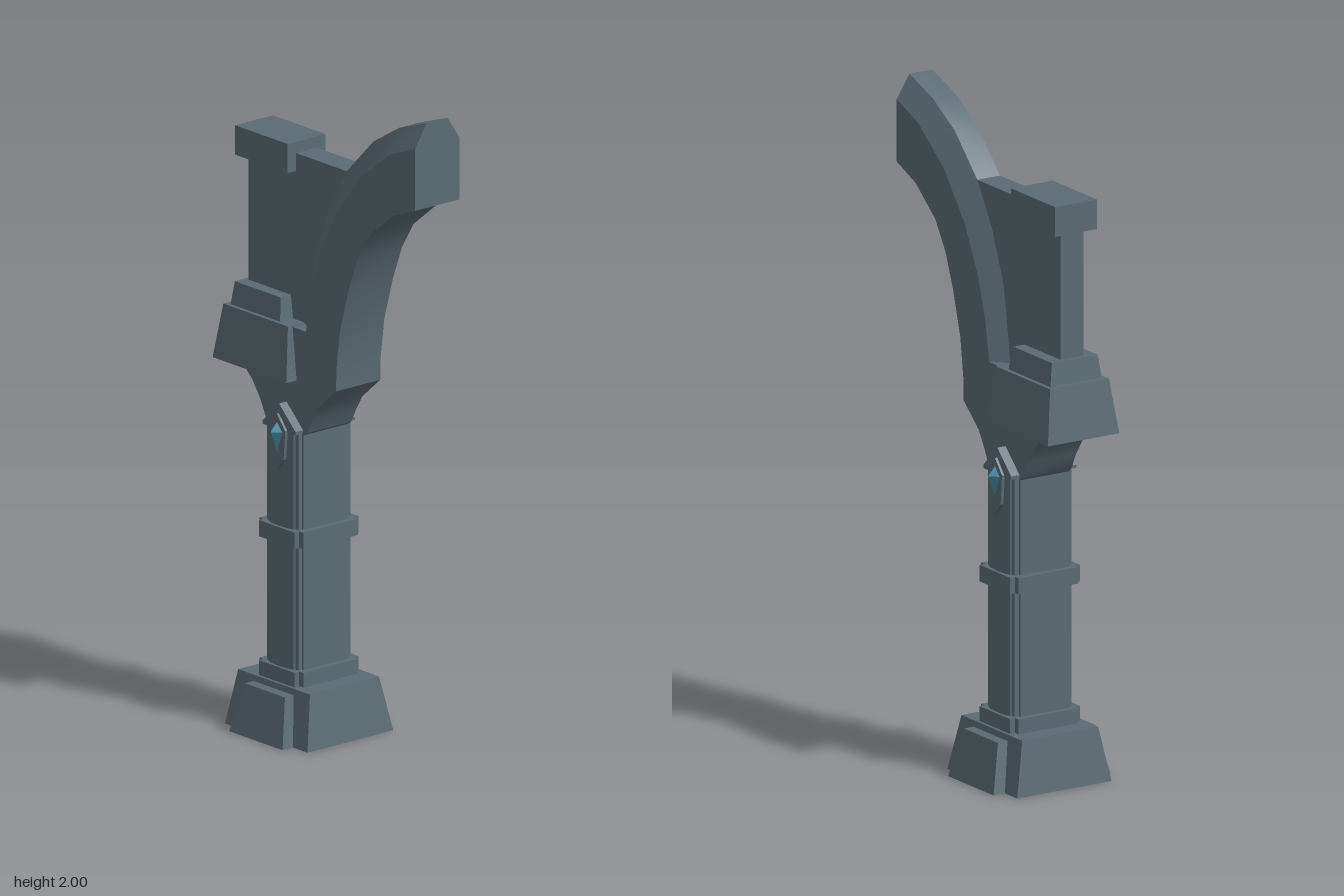
import * as THREE from 'three';
import { toCreasedNormals } from 'three/addons/utils/BufferGeometryUtils.js';

const CX = -0.147; // column axis

export function createModel() {
  const model = new THREE.Group();
  model.name = 'archPillar';

  const stone = new THREE.MeshStandardMaterial({ color: 0x5b6b74, side: THREE.DoubleSide });
  stone.name = 'slate stone';
  const crystal = new THREE.MeshStandardMaterial({ color: 0x4488a0 });
  crystal.name = 'blue crystal';

  function add(name, geometry, material = stone) {
    const mesh = new THREE.Mesh(geometry, material);
    mesh.name = name;
    model.add(mesh);
    return mesh;
  }

  // Tapered block: bottom and top rectangles are [x0, x1, z0, z1]
  function block(name, y0, y1, bottom, top = bottom, openBottom = false) {
    const g = new THREE.BoxGeometry(1, 1, 1);
    const p = g.attributes.position;
    for (let i = 0; i < p.count; i++) {
      const up = p.getY(i) > 0;
      const r = up ? top : bottom;
      p.setXYZ(i, p.getX(i) > 0 ? r[1] : r[0], up ? y1 : y0, p.getZ(i) > 0 ? r[3] : r[2]);
    }
    if (openBottom) {
      const index = Array.from(g.index.array);
      index.splice(18, 6);
      g.setIndex(index);
      g.clearGroups();
    }
    g.computeVertexNormals();
    return add(name, g);
  }

  // Flat outline extruded from z0 to z1
  function slab(points, z0, z1) {
    const shape = new THREE.Shape(points.map(([x, y]) => new THREE.Vector2(x, y)));
    const g = new THREE.ExtrudeGeometry(shape, { depth: z1 - z0, bevelEnabled: false });
    g.translate(0, 0, z0);
    return toCreasedNormals(g, 0.45);
  }

  // Hollow flared foot with a raised panel on front and back
  block('foot', 0, 0.165, [-0.33, 0.04, -0.165, 0.165], [-0.308, 0.014, -0.133, 0.133], true);
  block('footPanelFront', 0, 0.147, [-0.265, -0.025, 0.15, 0.205], [-0.235, -0.055, 0.12, 0.17]);
  block('footPanelBack', 0, 0.147, [-0.265, -0.025, -0.205, -0.15], [-0.235, -0.055, -0.17, -0.12]);

  // Plinth and middle band, each a cross of two boxes
  for (const [name, y0, y1] of [['plinth', 0.16, 0.21], ['band', 0.59, 0.64]]) {
    block(name, y0, y1, [-0.245, -0.048, -0.105, 0.105]);
    block(name + 'Front', y0, y1, [CX - 0.08, CX + 0.08, -0.123, 0.123]);
  }

  // Arch curves: side edge, crest edge and underside
  const edge = [[-0.06, 1.25], [-0.04, 1.37], [0.0, 1.5], [0.07, 1.64], [0.18, 1.78], [0.315, 1.885], [0.43, 1.93]];
  const crest = [[-0.105, 1.25], [-0.07, 1.475], [-0.01, 1.63], [0.066, 1.76], [0.19, 1.885], [0.305, 1.955], [0.43, 2.0]];
  const under = [[0.43, 1.74], [0.33, 1.7], [0.225, 1.615], [0.172, 1.53], [0.13, 1.42], [0.093, 1.29], [0.077, 1.17], [0.075, 1.1]];

  // Shaft, flared neck and arch as one continuous outline
  add('shaftAndArch', slab([
    [-0.07, 0.165], [-0.225, 0.165], [-0.225, 0.93], [-0.24, 0.945], [-0.265, 0.995], [-0.3, 1.045],
    [-0.36, 1.1], [-0.36, 1.25], ...edge, ...under, [-0.005, 1.03], [-0.035, 0.98], [-0.055, 0.94], [-0.07, 0.93],
  ], -0.085, 0.085));

  // Chamfered crest lofted along the arch
  const rings = edge.map(([x, y], i) => {
    const [cx, cy] = crest[i];
    return [[x, y, 0.085], [cx, cy, 0.04], [cx, cy, -0.04], [x, y, -0.085]];
  });
  const verts = [];
  const quad = (a, b, c, d) => verts.push(...a, ...b, ...c, ...a, ...c, ...d);
  for (let i = 0; i < rings.length - 1; i++) {
    for (let k = 0; k < 3; k++) quad(rings[i][k], rings[i + 1][k], rings[i + 1][k + 1], rings[i][k + 1]);
  }
  const end = rings[rings.length - 1];
  quad(end[0], end[3], end[2], end[1]);
  const crestGeometry = new THREE.BufferGeometry();
  crestGeometry.setAttribute('position', new THREE.Float32BufferAttribute(verts, 3));
  add('archCrest', toCreasedNormals(crestGeometry, 0.45));

  // Thin wall behind the arch and its cap stone
  add('wall', slab([[-0.37, 1.2], [-0.08, 1.2], [-0.05, 1.45], [0.0, 1.6], [0.08, 1.765], [-0.37, 1.765]], -0.04, 0.04));
  block('wallCap', 1.71, 1.8, [-0.392, -0.157, -0.073, 0.073]);

  // Corbel carrying the wall
  block('corbel', 1.09, 1.255, [-0.432, -0.102, -0.125, 0.125], [-0.41, -0.12, -0.103, 0.103]);
  block('corbelStep', 1.255, 1.325, [-0.392, -0.17, -0.09, 0.09], [-0.385, -0.18, -0.08, 0.08]);

  // Rounded pilasters on front and back, one profile run up the shaft
  const half = [[0.07, 0.1], [0.058, 0.1], [0.055, 0.106], [0.035, 0.112], [0, 0.114]];
  const frontHalf = [...half, ...half.slice(0, -1).reverse().map(([x, z]) => [-x, z])];
  const profile = [...frontHalf, ...frontHalf.map(([x, z]) => [-x, -z])];
  const pilaster = slab(profile, 0.165, 0.94);
  pilaster.rotateX(-Math.PI / 2);
  pilaster.translate(CX, 0, 0);
  add('pilasters', pilaster);

  // Pointed hood, gem setting and gem, on front and back
  const hood = slab([[-0.074, 0.935], [0.074, 0.935], [0.074, 0.945], [0, 1.015], [-0.074, 0.945]], 0.07, 0.114);
  const setting = slab([[0, 0.815], [0.03, 0.85], [0.037, 0.94], [0, 0.985], [-0.037, 0.94], [-0.03, 0.85]], 0.08, 0.122);
  const gem = new THREE.OctahedronGeometry(1);
  const gp = gem.attributes.position;
  for (let i = 0; i < gp.count; i++) {
    const y = gp.getY(i);
    gp.setXYZ(i, gp.getX(i) * 0.029, 0.933 + y * (y > 0 ? 0.032 : 0.073), 0.118 + gp.getZ(i) * 0.028);
  }
  gem.computeVertexNormals();
  for (const [side, turn] of [['Front', 0], ['Back', Math.PI]]) {
    for (const [name, g, m] of [['hood', hood, stone], ['gemSetting', setting, stone], ['gem', gem, crystal]]) {
      const mesh = add(name + side, g, m);
      mesh.position.x = CX;
      mesh.rotation.y = turn;
    }
  }
  return model;
}
